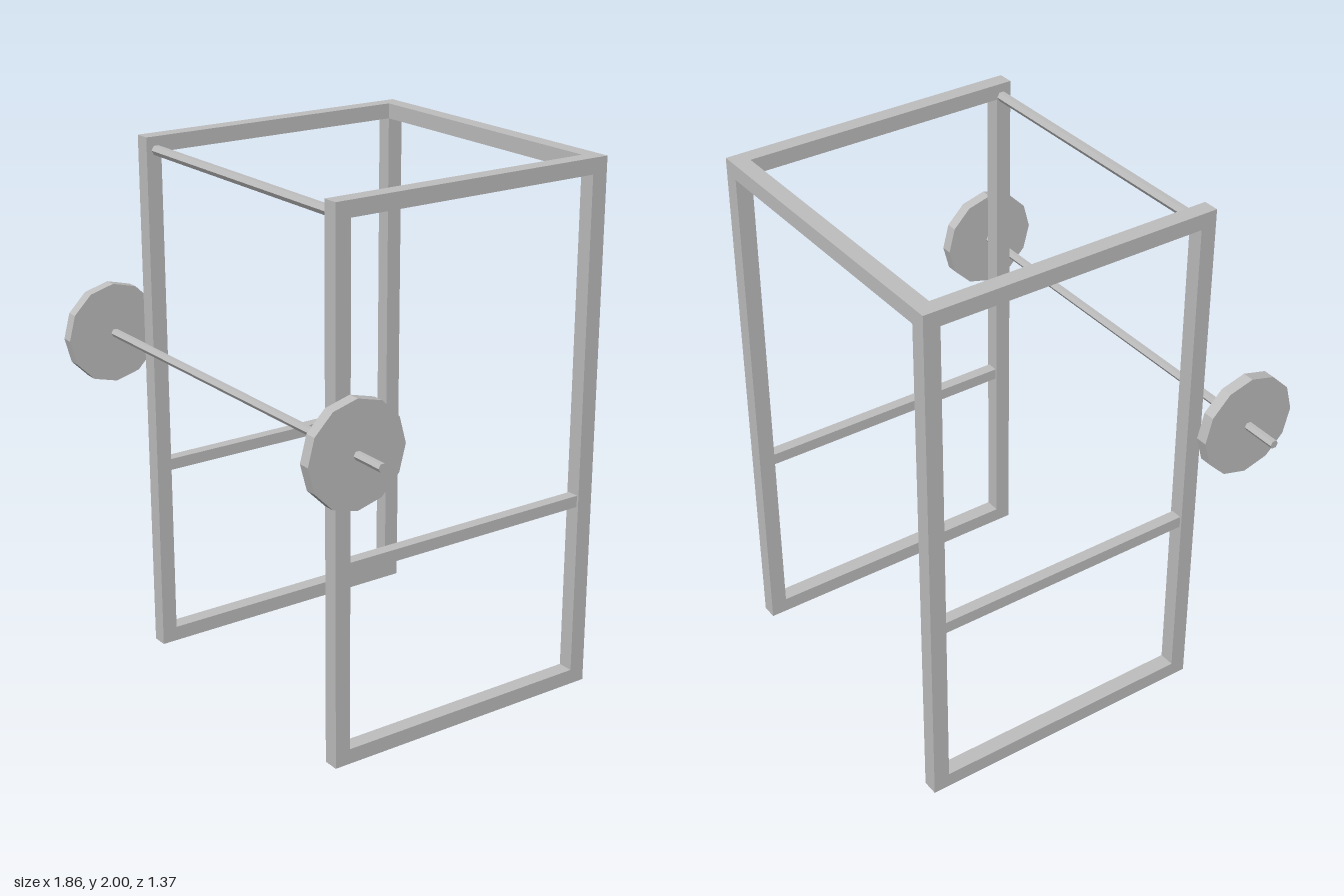
import * as THREE from 'three';

export function createModel() {
  const group = new THREE.Group();
  group.name = 'powerRack';
  const steel = new THREE.MeshStandardMaterial({ color: 0xbfbfbf });
  steel.name = 'grey steel';
  steel.flatShading = true;

  function add(name, geometry, x, y, z) {
    const mesh = new THREE.Mesh(geometry, steel);
    mesh.name = name;
    mesh.position.set(x, y, z);
    group.add(mesh);
    return mesh;
  }

  // Box given by its lower and upper corner
  function beam(name, [x0, y0, z0], [x1, y1, z1]) {
    add(name, new THREE.BoxGeometry(x1 - x0, y1 - y0, z1 - z0),
      (x0 + x1) / 2, (y0 + y1) / 2, (z0 + z1) / 2);
  }

  // Faceted cylinder lying along x
  function rod(name, radius, length, sides, x, y, z) {
    const geometry = new THREE.CylinderGeometry(radius, radius, length, sides);
    geometry.rotateZ(Math.PI / 2);
    add(name, geometry, x, y, z);
  }

  const inner = 0.551, outer = 0.611, t = 0.06;
  const front = 0.45, frontIn = 0.39, backIn = -0.624, back = -0.686;

  for (const [side, s] of [['left', 1], ['right', -1]]) {
    const a = s > 0 ? inner : -outer;
    const b = a + t;
    const mid = (a + b) / 2;

    // Uprights
    beam(side + 'FrontPost', [a, 0, frontIn], [b, 2, front]);
    beam(side + 'BackPost', [a, 0, back], [b, 2, backIn]);

    // Side rails
    beam(side + 'BottomRail', [a, 0, backIn], [b, 0.057, frontIn]);
    beam(side + 'TopRail', [a, 1.942, backIn], [b, 2, frontIn]);
    beam(side + 'MiddleRail', [mid - 0.022, 0.714, backIn], [mid + 0.022, 0.758, frontIn]);

    // Weight plate
    rod(side + 'Plate', 0.19, 0.044, 12, s * 0.776, 1.23, 0.497);
  }

  // Cross members
  beam('backTopBeam', [-inner, 1.942, back], [inner, 2, backIn]);
  rod('pullUpBar', 0.019, inner * 2, 6, 0, 1.95, 0.411);
  rod('barbell', 0.016, 1.86, 6, 0, 1.23, 0.497);

  return group;
}
